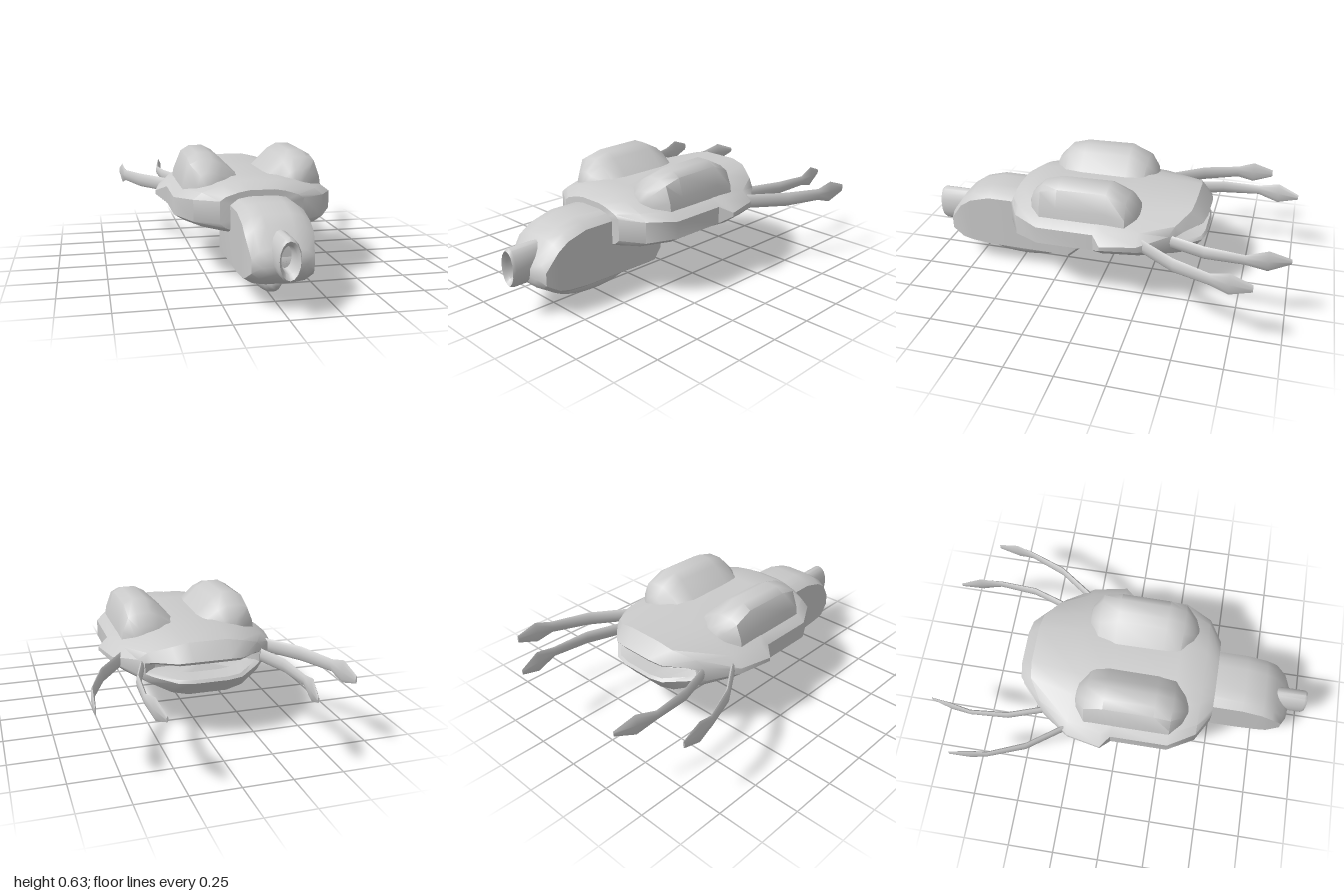
import * as THREE from 'three';
import { toCreasedNormals } from 'three/addons/utils/BufferGeometryUtils.js';

const material = new THREE.MeshStandardMaterial({ color: 0xcccccc });

// Skin a list of rings (front to back, each anticlockwise seen from the front) and cap both ends.
function loft(rings, crease = 0.75) {
  const n = rings[0].length;
  const points = rings.flat();
  const index = [];
  for (let i = 0; i < rings.length - 1; i++) {
    for (let k = 0; k < n; k++) {
      const a = i * n + k, b = i * n + (k + 1) % n;
      index.push(a, a + n, b, b, a + n, b + n);
    }
  }
  const addCap = (ring, first, front) => {
    const centre = points.length;
    points.push([0, 1, 2].map(c => ring.reduce((sum, p) => sum + p[c], 0) / n));
    for (let k = 0; k < n; k++) {
      const a = first + k, b = first + (k + 1) % n;
      index.push(centre, front ? a : b, front ? b : a);
    }
  };
  addCap(rings[0], 0, true);
  addCap(rings.at(-1), (rings.length - 1) * n, false);
  const g = new THREE.BufferGeometry();
  g.setAttribute('position', new THREE.Float32BufferAttribute(points.flat(), 3));
  g.setIndex(index);
  return toCreasedNormals(g, crease);
}

// Symmetric cross-section; shape lists [fraction of half width, rise from side edge to crown].
function section(shape, z, w, top, hi, lo, bottom, curve = 0) {
  const at = (f, y) => [f * w, y, z + curve * Math.max(0, (Math.abs(f) - 0.5) / 0.5)];
  const upper = shape.map(([f, t]) => at(f, hi + (top - hi) * t));
  const lower = shape.map(([f, t]) => at(f, lo + (bottom - lo) * t));
  const flip = list => list.map(([x, y, pz]) => [-x, y, pz]);
  return [...upper, ...flip(upper).reverse(), ...flip(lower), ...lower.reverse()];
}

function addMesh(parent, name, geometry) {
  const mesh = new THREE.Mesh(geometry, material);
  mesh.name = name;
  parent.add(mesh);
  return mesh;
}

export function createModel() {
  const model = new THREE.Group();
  model.name = 'craft';

  // Wide hull, flared behind the middle, with a recessed slot at the stern
  const hullShape = [[1, 0], [0.87, 0.4], [0.55, 0.82], [0.3, 1]];
  const hull = [ // z, half width, top, side top, side bottom, bottom, sweep of the sides
    [0.49, 0.21, 0.48, 0.43, 0.32, 0.26],
    [0.42, 0.33, 0.515, 0.43, 0.32, 0.255],
    [0.28, 0.41, 0.52, 0.42, 0.33, 0.25],
    [-0.02, 0.41, 0.52, 0.42, 0.33, 0.25],
    [-0.07, 0.467, 0.52, 0.39, 0.37, 0.245],
    [-0.25, 0.43, 0.52, 0.395, 0.365, 0.245],
    [-0.49, 0.33, 0.52, 0.42, 0.345, 0.25, 0.1],
    [-0.555, 0.3, 0.44, 0.41, 0.355, 0.33, 0.13],
    [-0.545, 0.28, 0.425, 0.4, 0.365, 0.345, 0.13],
    [-0.44, 0.24, 0.425, 0.4, 0.365, 0.345, 0.06],
  ];
  addMesh(model, 'hull', loft(hull.map(r => section(hullShape, ...r))));

  // Boxy head slung under the bow
  const headShape = [[1, 0], [0.75, 0.75], [0.4, 1]];
  const head = [ // z, half width, top, bottom
    [0.91, 0.1, 0.26, 0.18],
    [0.885, 0.145, 0.29, 0.15],
    [0.82, 0.16, 0.38, 0.11],
    [0.76, 0.16, 0.42, 0.095],
    [0.65, 0.16, 0.45, 0.085],
    [0.2, 0.16, 0.45, 0.08],
    [0.14, 0.145, 0.4, 0.13],
  ];
  addMesh(model, 'head', loft(head.map(([z, w, top, bottom]) =>
    section(headShape, z, w, top, top - 0.04, bottom + 0.035, bottom))));

  // Oval hollow nozzle
  const nozzleProfile = [[0.1, 0.75], [0.1, 0.985], [0.088, 1], [0.065, 0.98], [0.055, 0.91], [0, 0.91]]
    .map(([r, y]) => new THREE.Vector2(r, y));
  const nozzle = new THREE.LatheGeometry(nozzleProfile, 16);
  nozzle.rotateX(Math.PI / 2).scale(0.55, 1, 1).translate(0, 0.265, 0);
  addMesh(model, 'nozzle', toCreasedNormals(nozzle, 0.75));

  // Rounded bulge under the head and slim keel under the hull
  const chin = addMesh(model, 'chin', new THREE.SphereGeometry(1, 20, 14));
  chin.scale.set(0.072, 0.1, 0.28);
  chin.position.set(0, 0.1, 0.5);
  const keel = addMesh(model, 'keel', new THREE.SphereGeometry(1, 16, 12));
  keel.scale.set(0.04, 0.05, 0.25);
  keel.position.set(0, 0.263, -0.24);

  const podShape = [[0.155, 0], [0.145, 0.4], [0.115, 0.87], [0.07, 1], [0, 1], [-0.05, 0.87], [-0.155, 0.36], [-0.155, 0]];
  const podRings = [ // z, width scale, top
    [0.365, 0.25, 0.49], [0.34, 0.6, 0.545], [0.28, 1, 0.605], [0.19, 1, 0.63],
    [-0.07, 1, 0.635], [-0.17, 1, 0.585], [-0.22, 0.6, 0.53], [-0.238, 0.3, 0.47],
  ];
  const tentacles = { // x, z, half height, half thickness
    outerTentacle: [[0.37, -0.24, 0.038, 0.016], [0.52, -0.45, 0.038, 0.014], [0.595, -0.64, 0.032, 0.01],
      [0.61, -0.73, 0.058, 0.009], [0.62, -0.84, 0.02, 0.004]],
    innerTentacle: [[0.29, -0.34, 0.035, 0.014], [0.37, -0.58, 0.035, 0.012], [0.385, -0.78, 0.027, 0.01],
      [0.368, -0.89, 0.056, 0.009], [0.345, -1, 0.014, 0.004]],
  };

  for (const [side, s] of [['left', 1], ['right', -1]]) {
    // Domed pod on the back
    const rings = podRings.map(([z, scale, top]) => {
      const ring = podShape.map(([x, t]) => [s * (0.21 + x * scale), 0.43 + (top - 0.43) * t, z]);
      return s > 0 ? ring : ring.reverse();
    });
    addMesh(model, side + 'Pod', loft(rings));

    // Flat trailing tentacles with diamond tips
    for (const [name, path] of Object.entries(tentacles)) {
      const tube = path.map(([x, z, h, w]) => Array.from({ length: 8 }, (_, k) => {
        const a = k / 8 * Math.PI * 2;
        return [s * x + w * Math.cos(a), 0.384 + h * Math.sin(a), z];
      }));
      addMesh(model, side + name[0].toUpperCase() + name.slice(1), loft(tube));
    }
  }
  return model;
}
